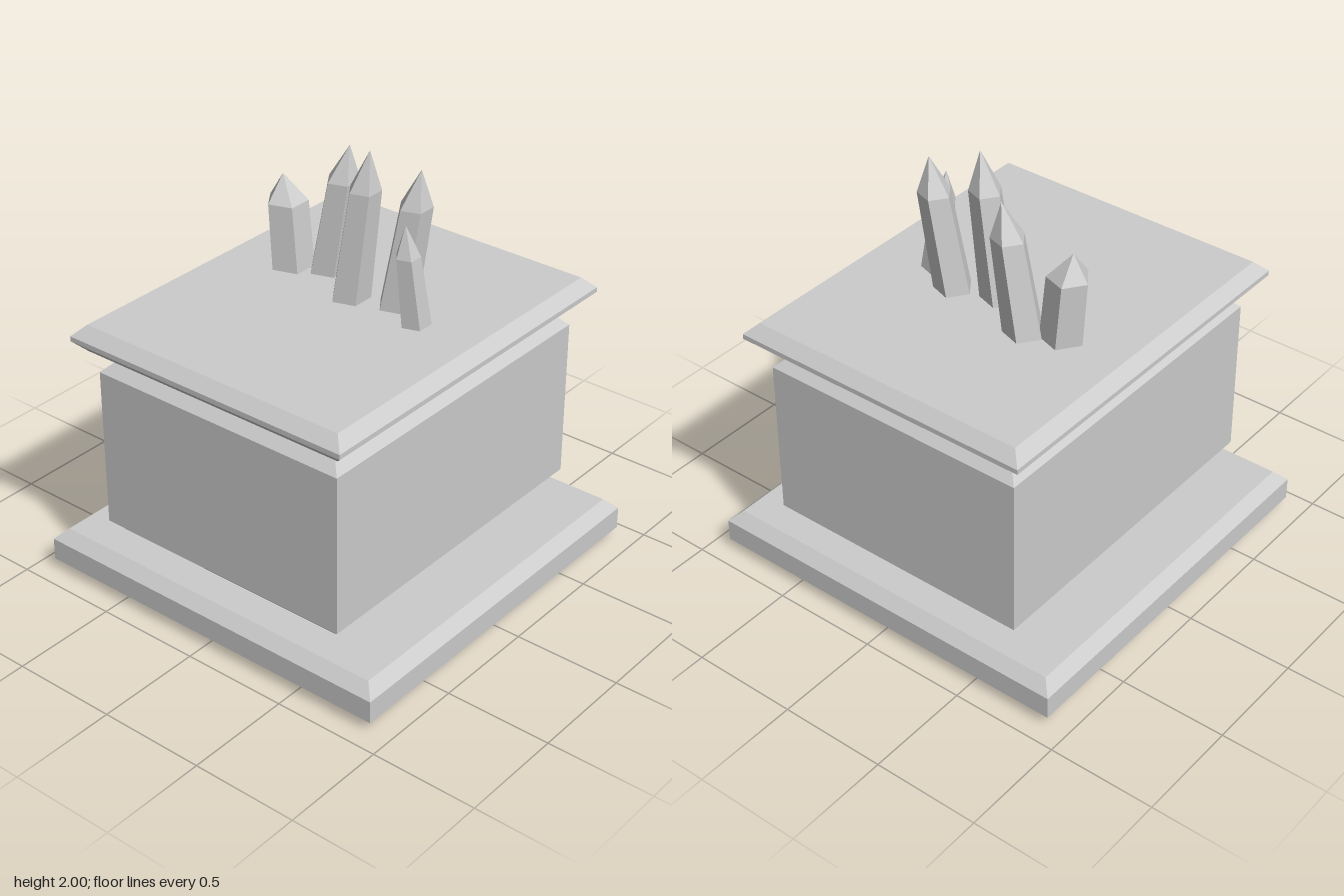
import * as THREE from 'three';

const material = new THREE.MeshStandardMaterial({ color: 0xcccccc, flatShading: true });

// Skin stacked rings of [x, y, z] points, closing both ends around a centre point.
function loft(name, rings, bottom, top) {
  const pos = [];
  const tri = (...points) => points.forEach((p) => pos.push(...p));
  const n = rings[0].length;
  const last = rings[rings.length - 1];
  for (let i = 0; i < n; i++) {
    const j = (i + 1) % n;
    for (let k = 0; k + 1 < rings.length; k++) {
      const lo = rings[k], hi = rings[k + 1];
      tri(lo[i], lo[j], hi[j]);
      tri(lo[i], hi[j], hi[i]);
    }
    tri(rings[0][j], rings[0][i], bottom);
    tri(last[i], last[j], top);
  }
  const geometry = new THREE.BufferGeometry();
  geometry.setAttribute('position', new THREE.Float32BufferAttribute(pos, 3));
  geometry.computeVertexNormals();
  const mesh = new THREE.Mesh(geometry, material);
  mesh.name = name;
  return mesh;
}

// Block with its upper and lower rims chamfered at 45 degrees.
function chamferedSlab(name, halfX, halfZ, y0, y1, c) {
  const corners = [[-1, 1], [1, 1], [1, -1], [-1, -1]];
  const levels = [[y0, c], [y0 + c, 0], [y1 - c, 0], [y1, c]];
  const rings = levels.map(([y, inset]) =>
    corners.map(([sx, sz]) => [sx * (halfX - inset), y, sz * (halfZ - inset)]));
  return loft(name, rings, [0, y0, 0], [0, y1, 0]);
}

// Leaning five-sided crystal: foot and shoulder are [x, y, z, radius], tip is a point.
function crystal(name, foot, shoulder, tip) {
  const rings = [foot, shoulder].map(([x, y, z, r]) =>
    Array.from({ length: 5 }, (_, i) => {
      const a = Math.PI + (i * Math.PI * 2) / 5;
      return [x + r * Math.sin(a), y, z + r * Math.cos(a)];
    }));
  return loft(name, rings, foot.slice(0, 3), tip);
}

export function createModel() {
  const model = new THREE.Group();
  model.name = 'crystalPedestal';

  // Pedestal
  model.add(
    chamferedSlab('base', 0.908, 0.908, 0, 0.21, 0.052),
    chamferedSlab('body', 0.805, 0.65, 0.21, 1.175, 0.105),
    chamferedSlab('topSlab', 0.885, 0.73, 1.175, 1.302, 0.052),
  );

  // Row of crystals, back to front
  const crystals = new THREE.Group();
  crystals.name = 'crystals';
  const y = 1.302;
  [
    [[0.13, y, -0.375, 0.1], [0.13, 1.61, -0.4, 0.095], [0.13, 1.73, -0.42]],
    [[0.2, y, -0.225, 0.092], [0.218, 1.745, -0.158, 0.077], [0.23, 1.91, -0.13]],
    [[0.058, y, 0.013, 0.09], [0.08, 1.815, 0.07, 0.074], [0.085, 2.0, 0.095]],
    [[0.125, y, 0.215, 0.088], [0.163, 1.77, 0.275, 0.076], [0.172, 1.94, 0.297]],
    [[0.045, y, 0.375, 0.069], [0.01, 1.625, 0.355, 0.056], [0, 1.77, 0.35]],
  ].forEach(([foot, shoulder, tip], i) => crystals.add(crystal(`crystal${i + 1}`, foot, shoulder, tip)));
  model.add(crystals);

  return model;
}
